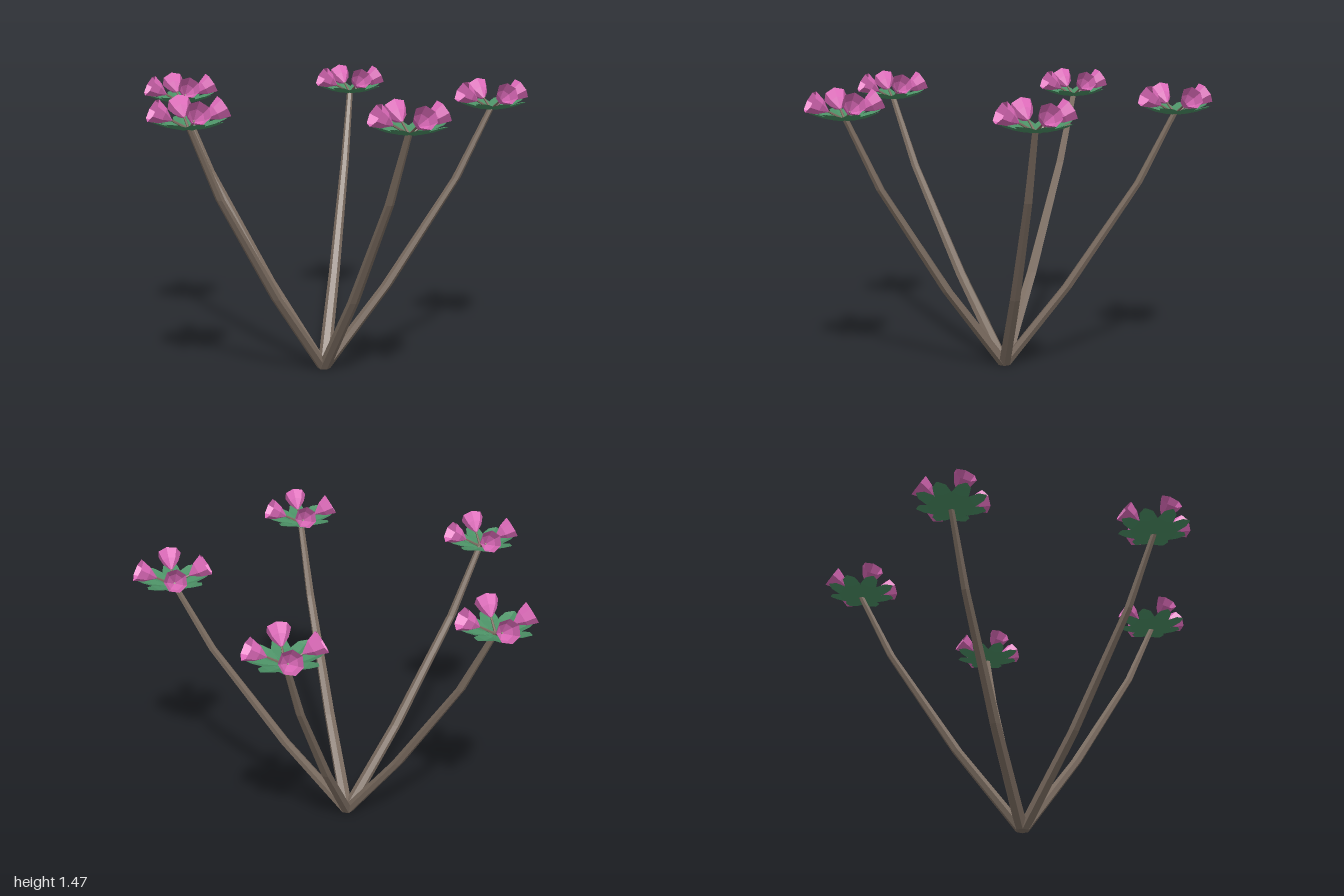
import * as THREE from 'three';

const V = (x, y, z) => new THREE.Vector3(x, y, z);
const material = (color, side = THREE.FrontSide) =>
  new THREE.MeshStandardMaterial({ color, side, flatShading: true });
const bark = material(0x7d6e62);
const green = material(0x4c9166, THREE.DoubleSide);
const pink = material(0xe06cbc, THREE.DoubleSide);

function addMesh(parent, name, geometry, mat) {
  const mesh = new THREE.Mesh(geometry, mat);
  mesh.name = name;
  parent.add(mesh);
  return mesh;
}

// Tapering low-poly stem: one horizontal ring per point, capped at both ends
function stemGeometry(points, radii, sides = 6) {
  const pos = [], index = [];
  points.forEach((p, i) => {
    for (let s = 0; s < sides; s++) {
      const a = (s / sides) * Math.PI * 2;
      pos.push(p.x + Math.cos(a) * radii[i], p.y, p.z + Math.sin(a) * radii[i]);
    }
  });
  for (let i = 0; i < points.length - 1; i++) {
    for (let s = 0; s < sides; s++) {
      const a = i * sides + s, b = i * sides + ((s + 1) % sides);
      index.push(a, a + sides, b, b, a + sides, b + sides);
    }
  }
  const top = (points.length - 1) * sides;
  for (let s = 1; s < sides - 1; s++) {
    index.push(0, s, s + 1, top, top + s + 1, top + s);
  }
  const g = new THREE.BufferGeometry();
  g.setAttribute('position', new THREE.Float32BufferAttribute(pos, 3));
  g.setIndex(index);
  g.computeVertexNormals();
  return g;
}

// Upward-curving leaf along +x, folded along its midrib
function leafGeometry(length, rise) {
  const profile = [[0, 0.008], [0.3, 0.026], [0.6, 0.044], [0.85, 0.034], [1, 0.004]];
  const pos = [], index = [];
  profile.forEach(([t, w], i) => {
    const y = rise * t * t;
    pos.push(length * t, y + w * 0.25, -w, length * t, y, 0, length * t, y + w * 0.25, w);
    if (i === 0) return;
    for (let k = 0; k < 2; k++) {
      const a = (i - 1) * 3 + k;
      index.push(a, a + 1, a + 3, a + 1, a + 4, a + 3);
    }
  });
  const g = new THREE.BufferGeometry();
  g.setAttribute('position', new THREE.Float32BufferAttribute(pos, 3));
  g.setIndex(index);
  g.computeVertexNormals();
  return g;
}

// Open cup-shaped blossom, pointing along +y from its base
const cup = new THREE.LatheGeometry(
  [[0.004, 0], [0.04, 0.05], [0.058, 0.1]].map(([r, y]) => new THREE.Vector2(r, y)), 7);
const leaf = leafGeometry(0.18, 0.045);
const stalk = new THREE.CylinderGeometry(0.005, 0.007, 0.1, 5);

function createHead() {
  const head = new THREE.Group();
  head.name = 'flowerHead';

  // Rosette of eight leaves
  for (let i = 0; i < 8; i++) {
    addMesh(head, 'leaf', leaf, green).rotation.y = 0.42 + (i * Math.PI) / 4;
  }

  // Four blossoms on short stalks, leaning outwards
  for (let i = 0; i < 4; i++) {
    const branch = new THREE.Group();
    branch.name = 'blossomBranch';
    branch.rotation.y = 0.42 + (i * Math.PI) / 2;
    const blossom = addMesh(branch, 'blossom', cup, pink);
    blossom.position.set(0.08, 0.047, 0);
    blossom.rotation.z = -Math.PI / 3;
    const s = addMesh(branch, 'blossomStalk', stalk, bark);
    s.position.set(0.043, 0.026, 0);
    s.rotation.z = -Math.PI / 3;
    head.add(branch);
  }
  return head;
}

export function createModel() {
  const model = new THREE.Group();
  model.name = 'floweringShrub';
  const root = V(-0.03, 0, 0.05);
  const tops = [[0.07, -0.8], [0.81, -0.12], [0.39, 0.79], [-0.605, 0.68], [-0.8, -0.31]];
  // Each stem: height, sideways fraction and radius at its joints
  const joints = [[0, 0, 0.034], [0.43, 0.38, 0.029], [0.98, 0.795, 0.022], [1.34, 1, 0.016]];

  for (const [x, z] of tops) {
    const points = joints.map(([y, t]) =>
      V(root.x + (x - root.x) * t, y, root.z + (z - root.z) * t));
    addMesh(model, 'stem', stemGeometry(points, joints.map((j) => j[2])), bark);
    const head = createHead();
    head.position.set(x, 1.328, z);
    model.add(head);
  }
  return model;
}
